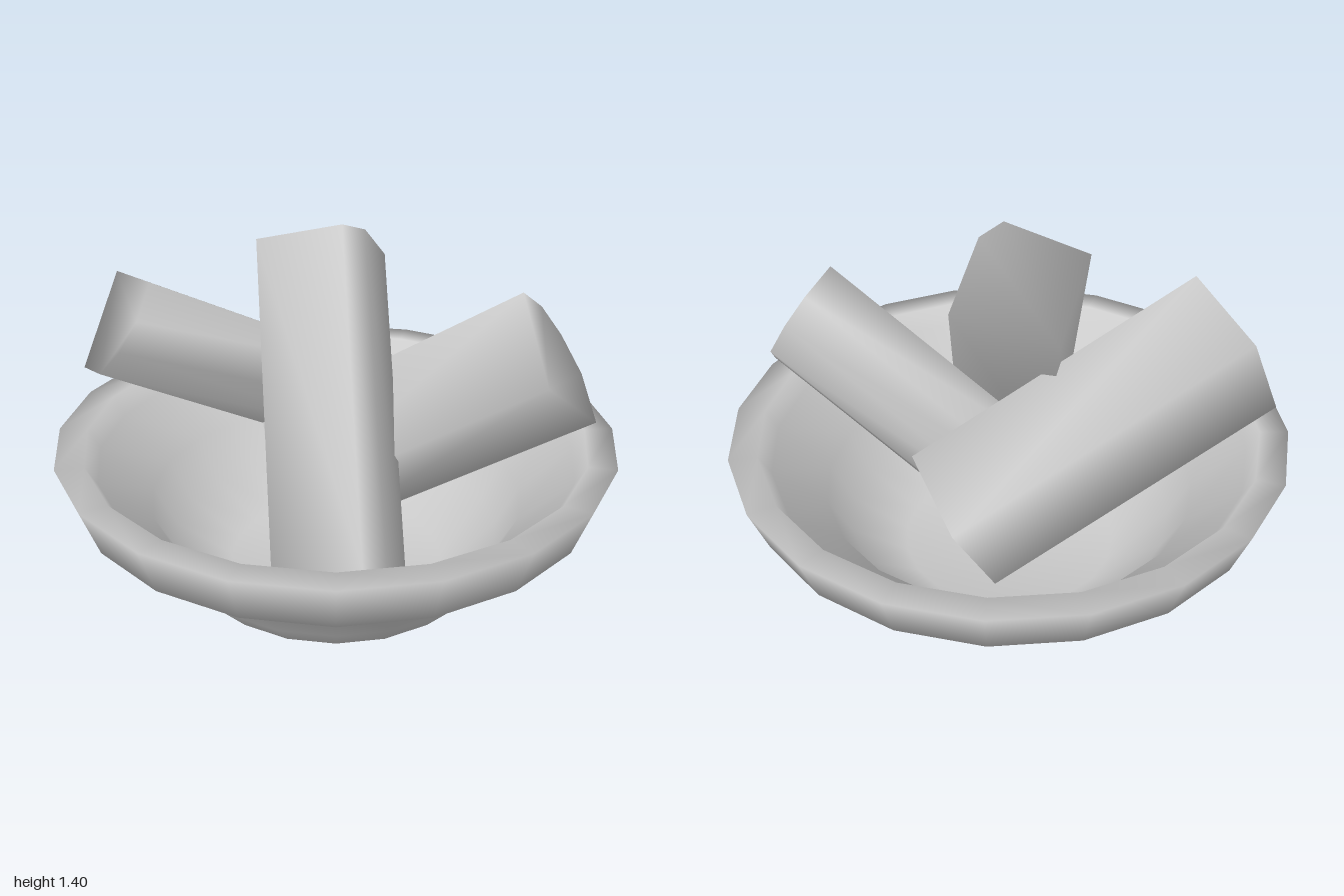
import * as THREE from 'three';
import { mergeVertices } from 'three/addons/utils/BufferGeometryUtils.js';

const material = new THREE.MeshStandardMaterial({ color: 0xcccccc });
const LOG_LENGTH = 1.13;

// Cross-sections of split logs: two flat split faces meet at the origin, bark opposite.
const roundBark = [[0, 0], [0.37, 0], [0.375, 0.14], [0.31, 0.26], [0.19, 0.36], [0, 0.37]];
const squareBark = [[0, 0], [0.37, 0], [0.365, 0.29], [0.306, 0.37], [0, 0.345]];

// corner: split edge at the upper end; side: direction of one split face; down: log axis.
function makeLog(name, section, corner, side, down) {
  const shape = new THREE.Shape(section.map(([x, y]) => new THREE.Vector2(x, y)));
  let geometry = new THREE.ExtrudeGeometry(shape, { depth: LOG_LENGTH, bevelEnabled: false });

  // Soft shading across all corners
  geometry.deleteAttribute('uv');
  geometry.deleteAttribute('normal');
  geometry = mergeVertices(geometry);

  const axis = new THREE.Vector3(...down).normalize();
  const e2 = new THREE.Vector3().crossVectors(axis, new THREE.Vector3(...side)).normalize();
  const e1 = new THREE.Vector3().crossVectors(e2, axis);
  geometry.applyMatrix4(new THREE.Matrix4().makeBasis(e1, e2, axis).setPosition(...corner));
  geometry.computeVertexNormals();

  const mesh = new THREE.Mesh(geometry, material);
  mesh.name = name;
  return mesh;
}

// Bowl wall: outside from the base up to the rim, then the inside down to the floor.
function makeBowl() {
  const profile = [
    [0, 0], [0.42, 0], [0.54, 0.085], [0.635, 0.19], [0.72, 0.345], [0.94, 0.46], [1, 0.63],
    [0.9, 0.625], [0.86, 0.55], [0.68, 0.38], [0.6, 0.23], [0.4, 0.09], [0, 0.08],
  ].map(([x, y]) => new THREE.Vector2(x, y));
  const mesh = new THREE.Mesh(new THREE.LatheGeometry(profile, 20), material);
  mesh.name = 'bowl';
  return mesh;
}

export function createModel() {
  const group = new THREE.Group();
  group.name = 'bowlOfLogs';
  group.add(
    makeBowl(),
    makeLog('middleLog', squareBark, [-0.27, 1.136, -0.24], [0.973, 0.19, -0.135], [0.234, -0.807, 0.541]),
    makeLog('rightLog', roundBark, [-0.835, 1.14, 0], [0.707, 0.19, 0.68], [0.68, -0.46, -0.58]),
    makeLog('leftLog', roundBark, [0.7625, 0.965, 0.155], [-0.38, 0.594, -0.707], [-0.84, -0.54, 0]),
  );
  return group;
}
